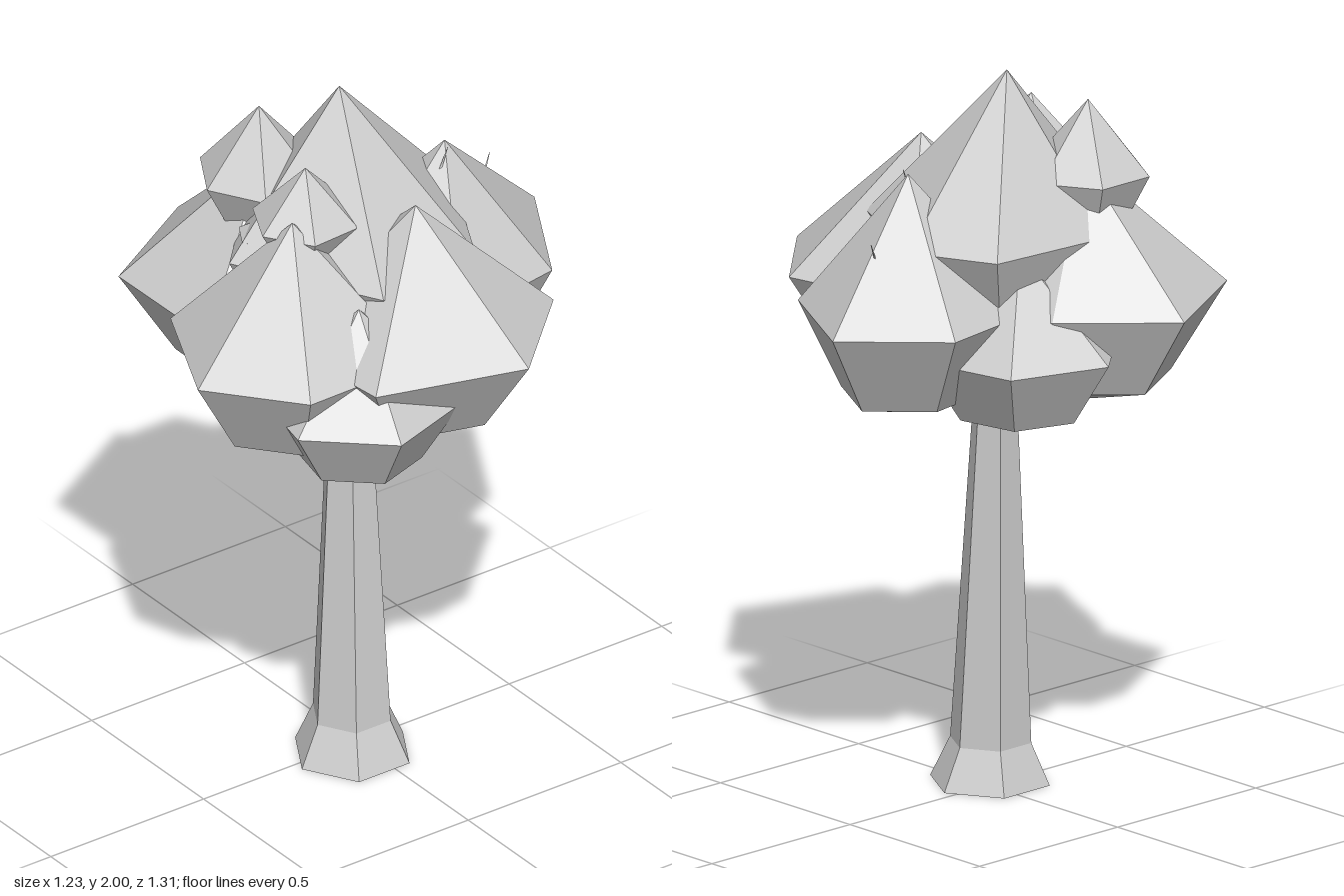
import * as THREE from 'three';

const grey = new THREE.MeshStandardMaterial({ color: 0xcccccc, flatShading: true, side: THREE.DoubleSide });
grey.name = 'plain grey';

// Regular outline as [angle in degrees, radius] pairs
const hexagon = (radius, turn) => Array.from({ length: 6 }, (_, i) => [turn + i * 60, radius]);

// Faceted skin: one outline scaled at each level [x, y, z, scale], bottom to top; scale 0 is a tip
function loft(name, outline, levels) {
  const pos = [];
  const point = ([x, y, z, s], i) => {
    const [deg, r] = outline[i % outline.length];
    const a = THREE.MathUtils.degToRad(deg);
    return [x + s * r * Math.cos(a), y, z + s * r * Math.sin(a)];
  };
  for (let k = 0; k < levels.length - 1; k++) {
    const lo = levels[k], hi = levels[k + 1];
    for (let i = 0; i < outline.length; i++) {
      if (lo[3] > 0) pos.push(...point(lo, i), ...point(hi, i), ...point(lo, i + 1));
      if (hi[3] > 0) pos.push(...point(hi, i), ...point(hi, i + 1), ...point(lo, i + 1));
    }
  }
  const geo = new THREE.BufferGeometry();
  geo.setAttribute('position', new THREE.Float32BufferAttribute(pos, 3));
  geo.computeVertexNormals();
  const mesh = new THREE.Mesh(geo, grey);
  mesh.name = name;
  return mesh;
}

// Pointed leaf clump: tip, wide rim, lower ring and shallow underside
function clump(name, x, z, tip, rim, outline) {
  const drop = (tip - rim) * 0.65;
  return loft(name, outline, [
    [x, rim - drop * 1.28, z, 0],
    [x, rim - drop, z, 0.61],
    [x, rim, z, 1],
    [x, tip, z, 0],
  ]);
}

// Tapered straight limb between two points
function limb(name, from, to, r0, r1, sides) {
  const a = new THREE.Vector3(...from), b = new THREE.Vector3(...to);
  const dir = b.clone().sub(a);
  const mesh = new THREE.Mesh(new THREE.CylinderGeometry(r1, r0, dir.length(), sides), grey);
  mesh.name = name;
  mesh.position.copy(a).add(b).multiplyScalar(0.5);
  mesh.quaternion.setFromUnitVectors(new THREE.Vector3(0, 1, 0), dir.normalize());
  return mesh;
}

export function createModel() {
  const tree = new THREE.Group();
  tree.name = 'tree';

  // Leaning six-sided trunk with a flared foot, open underneath
  tree.add(loft('trunk', hexagon(1, 90), [
    [0.03, 0.005, 0.035, 0.165],
    [0.025, 0.12, 0.033, 0.112],
    [-0.014, 1.02, 0.012, 0.064],
    [-0.014, 1.1, 0.012, 0.045],
    [-0.014, 1.1, 0.012, 0],
  ]));

  // Leaf clumps: name, x, z, tip height, rim height, rim outline
  const bigClumps = [
    ['frontClump', 0.118, 0.296, 1.765, 1.405,
      [[28, 0.34], [80, 0.36], [145, 0.34], [205, 0.36], [265, 0.36], [325, 0.36]]],
    ['leftClump', 0.237, -0.02, 1.765, 1.41,
      [[-14, 0.39], [51, 0.41], [108, 0.38], [168, 0.38], [228, 0.38], [290, 0.38]]],
    ['rightClump', -0.227, 0.132, 1.76, 1.4,
      [[0, 0.38], [60, 0.385], [120, 0.39], [180, 0.39], [239, 0.3], [300, 0.36]]],
    ['backClump', 0.005, -0.285, 1.76, 1.4,
      [[28, 0.32], [85, 0.34], [144, 0.34], [203, 0.363], [254, 0.388], [320, 0.293]]],
  ];
  const otherClumps = [
    ['topClump', -0.06, 0.012, 2.0, 1.58,
      [[20, 0.42], [90, 0.36], [163, 0.3], [227, 0.38], [266, 0.385], [328, 0.385]]],
    ['lowLeftClump', 0.305, 0.215, 1.56, 1.29, hexagon(0.275, 12)],
    ['lowRightClump', -0.23, -0.1, 1.56, 1.29, hexagon(0.285, 48)],
    ['smallRightClump', -0.21, 0.165, 1.92, 1.72, hexagon(0.17, 30)],
    ['smallFrontClump', 0.052, 0.205, 1.87, 1.715, hexagon(0.148, 26)],
    ['tinyFrontClump', -0.06, 0.25, 1.68, 1.63, hexagon(0.08, 30)],
  ];
  [...bigClumps, ...otherClumps].forEach((c) => tree.add(clump(...c)));

  // Branches spreading from the trunk top into the big clumps
  const fork = [-0.014, 1.01, 0.012];
  bigClumps.forEach(([, x, z, , rim]) =>
    tree.add(limb('branch', fork, [x * 0.7, rim - 0.14, z * 0.7], 0.044, 0.03, 5)));

  // Thin twigs poking out at the back
  tree.add(limb('twig', [-0.05, 1.5, -0.43], [-0.06, 1.62, -0.48], 0.007, 0.001, 3));
  tree.add(limb('twig', [0.03, 1.64, -0.23], [0.04, 1.76, -0.27], 0.007, 0.001, 3));

  return tree;
}
